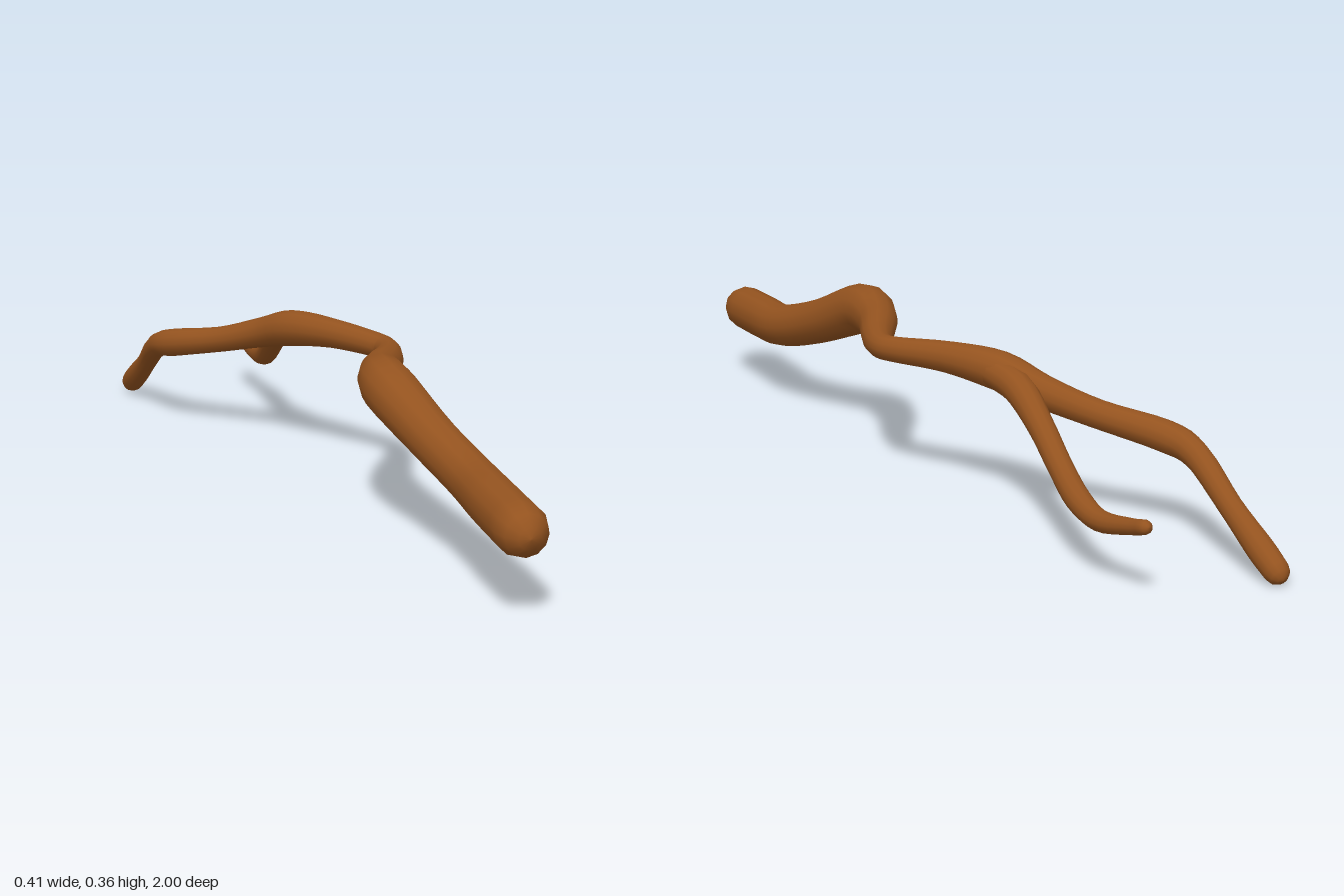
import * as THREE from 'three';

const SIDES = 12;

// Smooth limb through [x, y, z, radius] stations, closed by rounded ends.
function limb(name, stations, material) {
  const path = new THREE.CatmullRomCurve3(
    stations.map(([x, y, z]) => new THREE.Vector3(x, y, z)), false, 'catmullrom', 0.5);
  const girth = new THREE.CatmullRomCurve3(
    stations.map((s) => new THREE.Vector3(s[3], 0, 0)), false, 'catmullrom', 0.5);
  const positions = [];
  const indices = [];
  let rings = 0;

  function ring(t, radiusScale, pushScale) {
    const r = girth.getPoint(t).x;
    const tangent = path.getTangent(t);
    const centre = path.getPoint(t).addScaledVector(tangent, r * pushScale);
    const side = tangent.clone().cross(new THREE.Vector3(0, 1, 0)).normalize();
    const up = side.clone().cross(tangent);
    for (let j = 0; j < SIDES; j++) {
      const a = (j / SIDES) * Math.PI * 2;
      const p = centre.clone()
        .addScaledVector(side, Math.cos(a) * r * radiusScale)
        .addScaledVector(up, Math.sin(a) * r * radiusScale);
      positions.push(p.x, p.y, p.z);
    }
    rings++;
  }

  // Start cap, body, end cap
  const capAngles = [88, 65, 35].map(THREE.MathUtils.degToRad);
  for (const a of capAngles) ring(0, Math.cos(a), -Math.sin(a));
  const steps = (stations.length - 1) * 4;
  for (let i = 0; i <= steps; i++) ring(i / steps, 1, 0);
  for (const a of [...capAngles].reverse()) ring(1, Math.cos(a), Math.sin(a));

  for (let i = 0; i < rings - 1; i++) {
    for (let j = 0; j < SIDES; j++) {
      const a = i * SIDES + j;
      const b = i * SIDES + (j + 1) % SIDES;
      indices.push(a, a + SIDES, b, b, a + SIDES, b + SIDES);
    }
  }
  // Close the tiny holes left at both poles
  const last = (rings - 1) * SIDES;
  for (let j = 1; j < SIDES - 1; j++) {
    indices.push(0, j, j + 1, last, last + j + 1, last + j);
  }

  const geometry = new THREE.BufferGeometry();
  geometry.setAttribute('position', new THREE.Float32BufferAttribute(positions, 3));
  geometry.setIndex(indices);
  geometry.computeVertexNormals();
  const mesh = new THREE.Mesh(geometry, material);
  mesh.name = name;
  return mesh;
}

export function createModel() {
  const group = new THREE.Group();
  group.name = 'forkedStick';
  const bark = new THREE.MeshStandardMaterial({ color: 0x94531f });
  bark.name = 'barkBrown';

  // Thick handle, bent middle, and the longer fork
  group.add(limb('mainStem', [
    [0.078, 0.181, 0.945, 0.054],
    [0.09, 0.187, 0.8, 0.054],
    [0.1, 0.197, 0.66, 0.052],
    [0.08, 0.24, 0.5, 0.053],
    [0.052, 0.304, 0.33, 0.059],
    [0.08, 0.308, 0.2, 0.047],
    [0.142, 0.303, 0.08, 0.036],
    [0.173, 0.304, 0.0, 0.029],
    [0.164, 0.307, -0.06, 0.029],
    [0.105, 0.311, -0.18, 0.035],
    [0.05, 0.302, -0.3, 0.043],
    [0.002, 0.273, -0.4, 0.036],
    [-0.07, 0.24, -0.5, 0.031],
    [-0.155, 0.212, -0.62, 0.034],
    [-0.177, 0.188, -0.7, 0.029],
    [-0.173, 0.12, -0.82, 0.025],
    [-0.175, 0.06, -0.92, 0.029],
    [-0.175, 0.03, -0.973, 0.027],
  ], bark));

  // Thinner fork with an upturned tip
  group.add(limb('sideBranch', [
    [0.066, 0.304, -0.27, 0.032],
    [0.053, 0.284, -0.38, 0.034],
    [0.064, 0.232, -0.49, 0.028],
    [0.085, 0.178, -0.6, 0.026],
    [0.106, 0.142, -0.7, 0.026],
    [0.114, 0.127, -0.79, 0.022],
    [0.108, 0.142, -0.88, 0.017],
    [0.106, 0.155, -0.93, 0.015],
  ], bark));

  return group;
}
